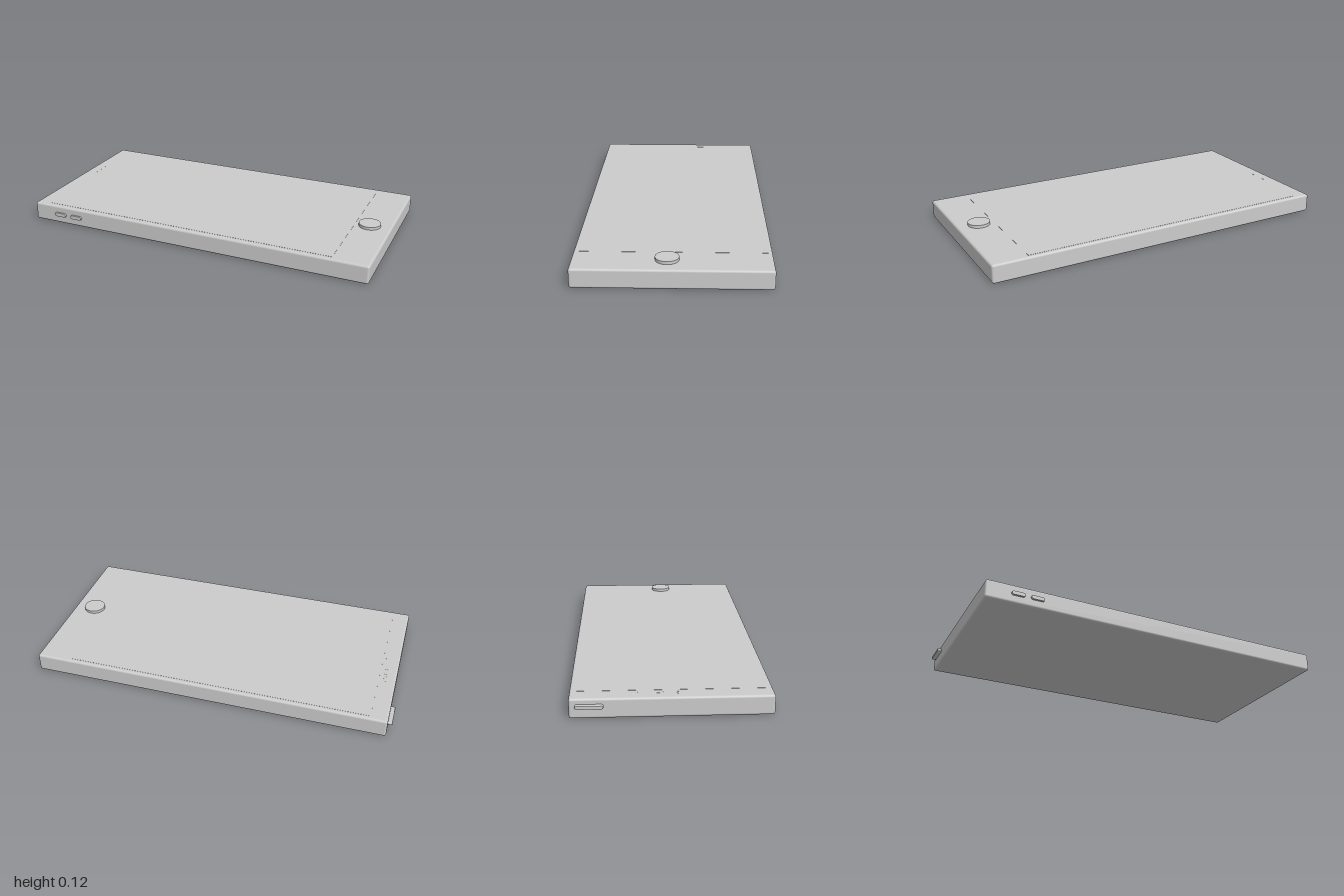
import * as THREE from 'three';
import { RoundedBoxGeometry } from 'three/addons/geometries/RoundedBoxGeometry.js';

const grey = new THREE.MeshStandardMaterial({ color: 0xcccccc });

export function createModel() {
  const phone = new THREE.Group();
  phone.name = 'phone';

  function add(name, geometry, x, y, z) {
    const mesh = new THREE.Mesh(geometry, grey);
    mesh.name = name;
    mesh.position.set(x, y, z);
    phone.add(mesh);
    return mesh;
  }

  // Pill-shaped side key, long axis along x, pushed out along +z
  function keyGeometry(length, height, depth) {
    const r = height / 2, half = length / 2 - r;
    const pill = new THREE.Shape();
    pill.absarc(half, 0, r, -Math.PI / 2, Math.PI / 2);
    pill.absarc(-half, 0, r, Math.PI / 2, Math.PI * 1.5);
    const bevel = 0.003;
    return new THREE.ExtrudeGeometry(pill, {
      depth: depth - bevel, curveSegments: 10,
      bevelThickness: bevel, bevelSize: bevel, bevelOffset: -bevel, bevelSegments: 2,
    });
  }

  // Slab lying flat, with softly rounded edges
  add('body', new RoundedBoxGeometry(1.977, 0.102, 0.989, 4, 0.012), 0.0115, 0.051, -0.0055);

  // Display, a hair proud of the body
  add('screen', new THREE.BoxGeometry(1.685, 0.004, 0.938), -0.042, 0.1008, -0.008);

  // Round home button
  add('homeButton', new THREE.CylinderGeometry(0.06, 0.06, 0.03, 48), 0.88, 0.103, 0.02);

  // Earpiece slot and front sensors
  add('earpiece', new RoundedBoxGeometry(0.012, 0.004, 0.14, 2, 0.0019), -0.915, 0.1006, -0.11);
  for (const x of [-0.925, -0.902]) {
    add('sensor', new THREE.CylinderGeometry(0.006, 0.006, 0.004, 16), x, 0.1006, 0.025);
  }

  // Volume keys on the front long side
  for (const x of [-0.807, -0.703]) {
    add('volumeKey', keyGeometry(0.072, 0.022, 0.02), x, 0.053, 0.48);
  }

  // Power key on the short end
  const power = add('powerKey', keyGeometry(0.136, 0.018, 0.03), -0.97, 0.065, -0.402);
  power.rotation.y = -Math.PI / 2;

  return phone;
}
